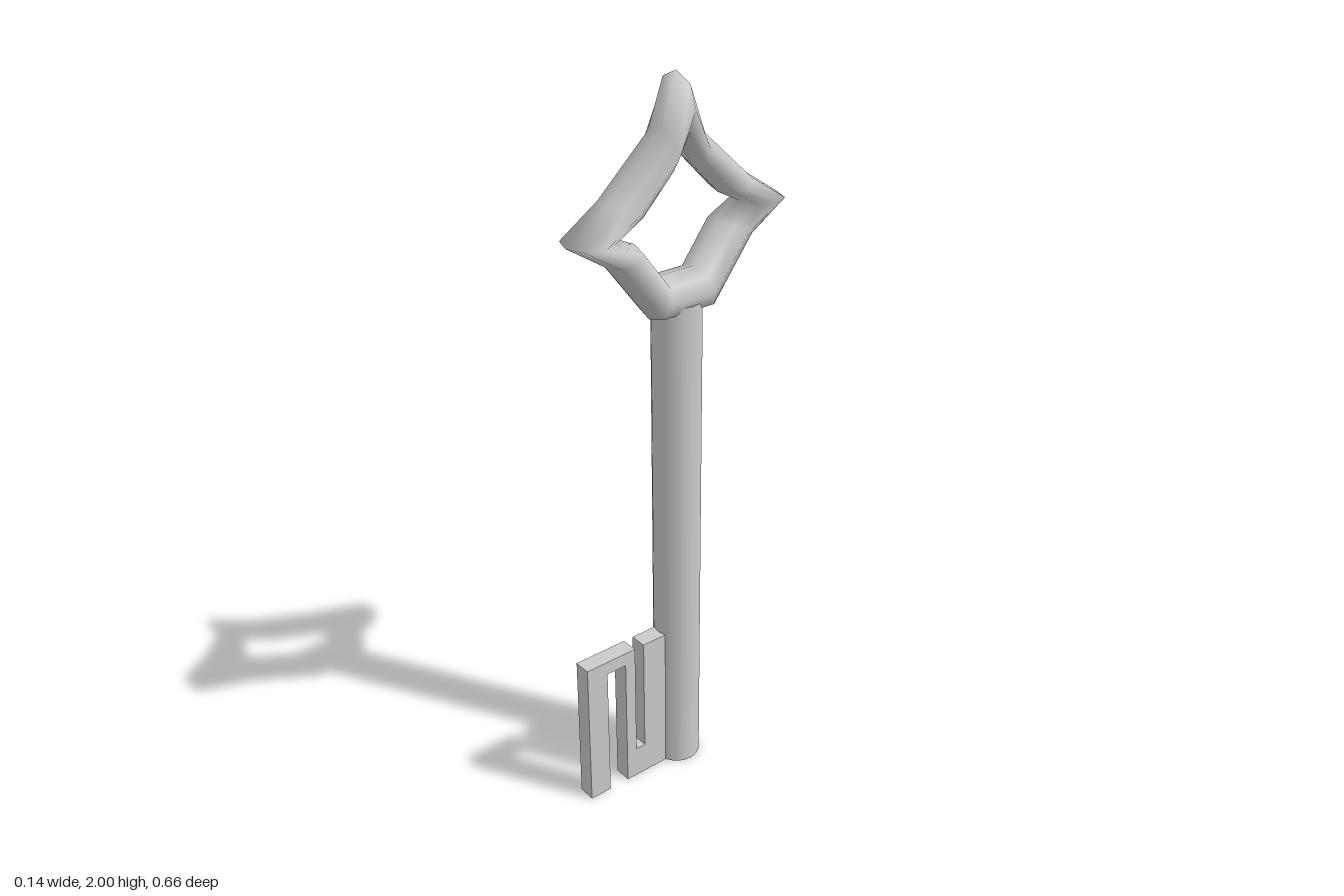
import * as THREE from 'three';

const material = new THREE.MeshStandardMaterial({ color: 0xcccccc });

// Closed ring swept around the star outline; each station gives outer and inner [z, y]
function bowGeometry(sides = 8, halfWidth = 0.072) {
  const half = [
    [[0, 2], [0, 1.84]],
    [[-0.045, 1.87], [-0.05, 1.765]],
    [[-0.21, 1.72], [-0.13, 1.68]],
    [[-0.33, 1.64], [-0.205, 1.64]],
    [[-0.215, 1.565], [-0.13, 1.605]],
    [[-0.085, 1.395], [-0.055, 1.505]],
  ];
  const mirrored = half.slice(1).reverse().map((s) => s.map(([z, y]) => [-z, y]));
  const stations = [...half, ...mirrored];
  const positions = [];
  const index = [];
  stations.forEach(([outer, inner], i) => {
    const next = (i + 1) % stations.length;
    for (let j = 0; j < sides; j++) {
      const a = (j / sides) * Math.PI * 2;
      const k = (1 + Math.cos(a)) / 2;
      positions.push(
        halfWidth * Math.sin(a),
        THREE.MathUtils.lerp(inner[1], outer[1], k),
        THREE.MathUtils.lerp(inner[0], outer[0], k),
      );
      const j2 = (j + 1) % sides;
      const p = i * sides + j, pA = i * sides + j2;
      const q = next * sides + j, qA = next * sides + j2;
      index.push(p, pA, q, pA, qA, q);
    }
  });
  const geometry = new THREE.BufferGeometry();
  geometry.setAttribute('position', new THREE.Float32BufferAttribute(positions, 3));
  geometry.setIndex(index);
  geometry.computeVertexNormals();
  return geometry;
}

// Flat plate cut by two slots, drawn as (z, y) and extruded across x
function bitGeometry(thickness = 0.05) {
  const outline = [
    [0, 0], [0.2, 0], [0.2, 0.405], [0.262, 0.405], [0.262, 0], [0.328, 0],
    [0.328, 0.445], [0.167, 0.445], [0.167, 0.095], [0.137, 0.095],
    [0.137, 0.445], [0, 0.445],
  ];
  const shape = new THREE.Shape(outline.map(([z, y]) => new THREE.Vector2(z, y)));
  return new THREE.ExtrudeGeometry(shape, { depth: thickness, bevelEnabled: false })
    .translate(0, 0, -thickness / 2)
    .rotateY(-Math.PI / 2);
}

export function createModel() {
  const model = new THREE.Group();
  model.name = 'key';
  const add = (name, geometry) => {
    const mesh = new THREE.Mesh(geometry, material);
    mesh.name = name;
    model.add(mesh);
  };

  const shaftHeight = 1.43;
  add('bow', bowGeometry());
  add('shaft', new THREE.CylinderGeometry(0.066, 0.066, shaftHeight, 16).translate(0, shaftHeight / 2, 0));
  add('bit', bitGeometry());
  return model;
}
